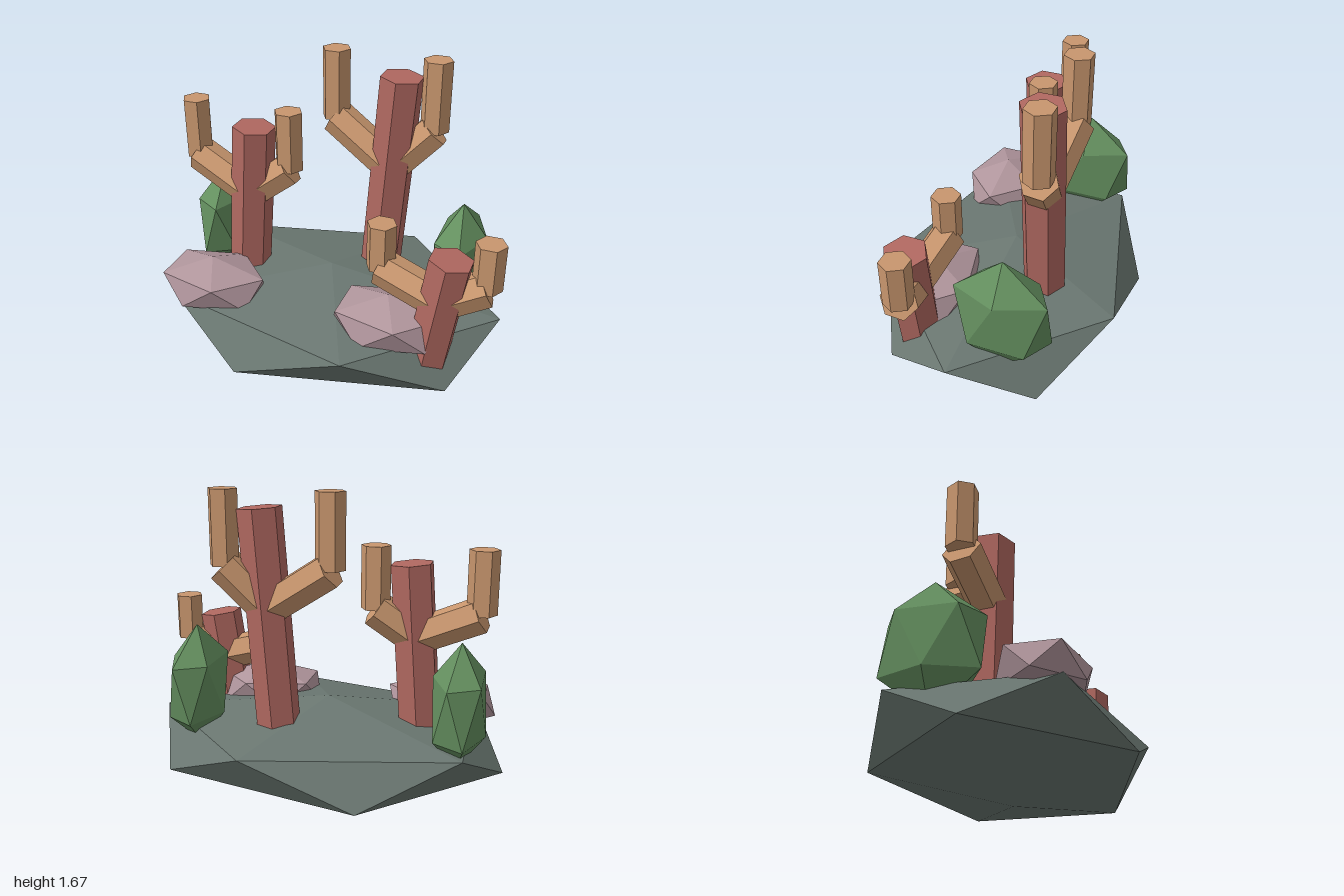
import * as THREE from 'three';

const mat = (name, color) => {
  const m = new THREE.MeshStandardMaterial({ color });
  m.name = name;
  return m;
};

export function createModel() {
  const model = new THREE.Group();
  model.name = 'coralReef';
  const stone = mat('greyGreenStone', 0x6a7771);
  const red = mat('coralRed', 0xb06860);
  const tan = mat('coralTan', 0xc8966e);
  const mauve = mat('mauveRock', 0xb0959c);
  const green = mat('plantGreen', 0x648f5f);

  // Icosahedron standing on one corner, with an upper corner towards +x
  const lump = (name, material, pos, scale) => {
    const geo = new THREE.IcosahedronGeometry(1, 0);
    geo.rotateZ(-Math.atan(2 / (1 + Math.sqrt(5))));
    geo.scale(...scale);
    geo.computeVertexNormals();
    const mesh = new THREE.Mesh(geo, material);
    mesh.name = name;
    mesh.position.set(...pos);
    model.add(mesh);
  };

  // Six-sided flat-shaded rod between two points
  const rod = (name, material, from, to, radius, turn = 0) => {
    const dir = to.clone().sub(from);
    const geo = new THREE.CylinderGeometry(radius, radius, dir.length(), 6).rotateY(turn).toNonIndexed();
    geo.computeVertexNormals();
    const mesh = new THREE.Mesh(geo, material);
    mesh.name = name;
    mesh.position.copy(from).add(to).multiplyScalar(0.5);
    mesh.quaternion.setFromUnitVectors(new THREE.Vector3(0, 1, 0), dir.normalize());
    return mesh;
  };

  // Ground, rocks and plants
  lump('baseRock', stone, [-0.015, 0.25, 0], [1.1, 0.25, 0.8]);
  lump('leftRock', mauve, [-0.62, 0.424, 0.295], [0.345, 0.157, 0.25]);
  lump('rightRock', mauve, [0.415, 0.424, 0.295], [0.345, 0.157, 0.25]);
  for (const x of [-0.765, 0.68]) {
    lump('plant', green, [x, 0.576, -0.2], [0.16, 0.344, 0.294]);
  }

  // Branching corals: leaning trunk, two branches, two upright tips
  const corals = [
    { name: 'tallCoral', top: [0.287, 1.578], z: -0.25, lean: 0.0735, foot: 0.38, fork: 1.05, tips: [-0.1, 0.465], tipY: [1.28, 1.675] },
    { name: 'middleCoral', top: [-0.468, 1.278], z: 0, lean: 0.0735, foot: 0.32, fork: 0.878, tips: [-0.845, -0.285], tipY: [1.035, 1.375] },
    { name: 'smallCoral', top: [0.737, 0.87], z: 0.3, lean: 0.147, foot: 0.18, fork: 0.613, tips: [0.357, 0.918], tipY: [0.715, 0.975] },
  ];
  for (const c of corals) {
    const coral = new THREE.Group();
    coral.name = c.name;
    const onTrunk = (y) => new THREE.Vector3(c.top[0] - (c.top[1] - y) * c.lean, y, c.z);
    coral.add(rod('trunk', red, onTrunk(c.foot), onTrunk(c.top[1]), 0.12));
    for (const x of c.tips) {
      const elbow = new THREE.Vector3(x, c.tipY[0], c.z - 0.05);
      const end = new THREE.Vector3(x, c.tipY[1], c.z - 0.05);
      coral.add(rod('branch', tan, onTrunk(c.fork), elbow, 0.1));
      coral.add(rod('tip', tan, elbow, end, 0.08, Math.PI / 6));
    }
    model.add(coral);
  }
  return model;
}
